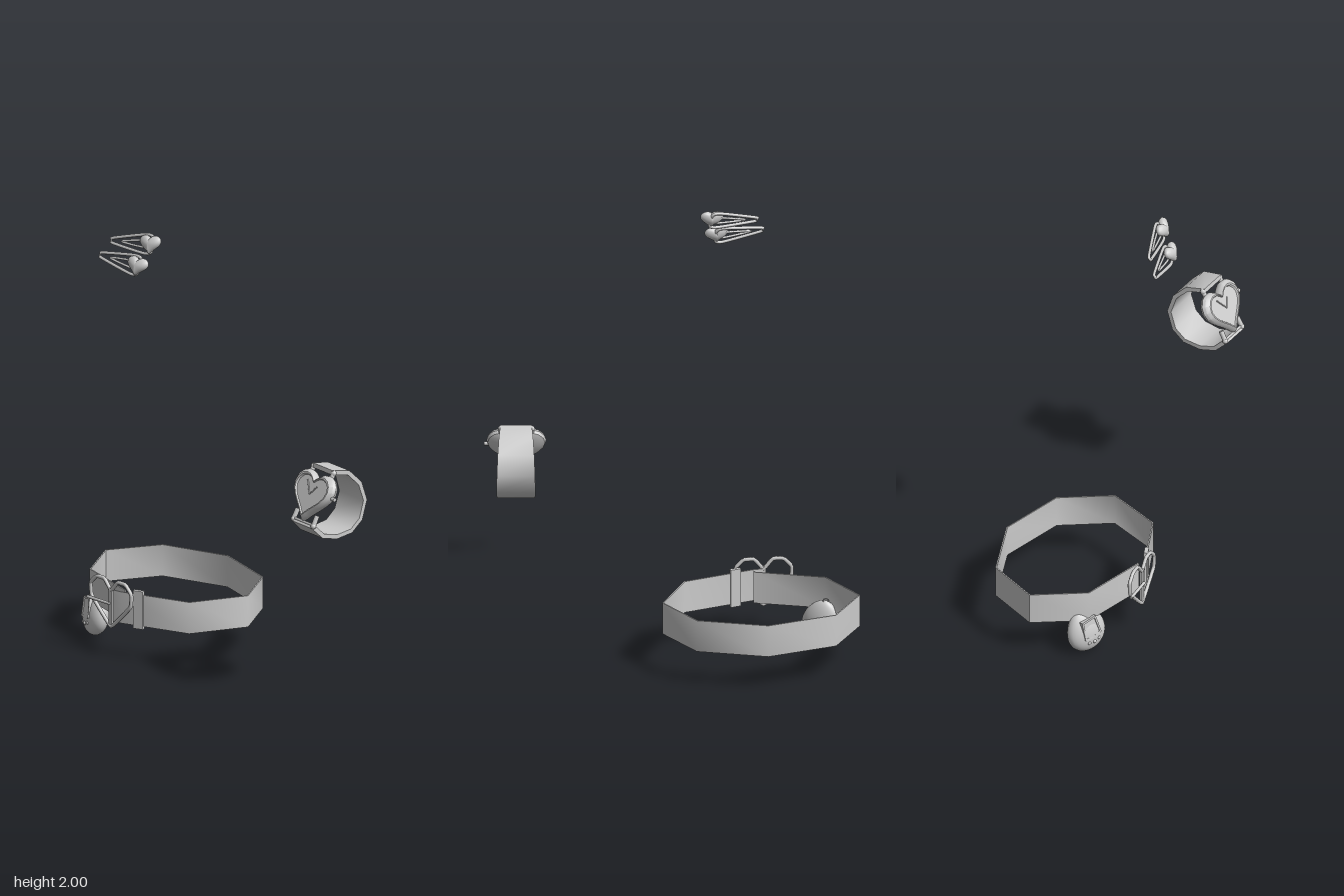
import * as THREE from 'three';
import { toCreasedNormals, mergeVertices } from 'three/addons/utils/BufferGeometryUtils.js';

const grey = new THREE.MeshStandardMaterial({ color: 0xcccccc });
const thin = new THREE.MeshStandardMaterial({ color: 0xcccccc, side: THREE.DoubleSide });

function add(parent, name, geometry, position = [0, 0, 0], rotation = [0, 0, 0], material = grey) {
  const mesh = new THREE.Mesh(geometry, material);
  mesh.name = name;
  mesh.position.set(...position);
  mesh.rotation.set(...rotation);
  parent.add(mesh);
  return mesh;
}

function makeGroup(parent, name, position, yaw, pitch = 0, roll = 0) {
  const group = new THREE.Group();
  group.name = name;
  group.position.set(...position);
  group.rotation.set(pitch, yaw, roll, 'YXZ');
  parent.add(group);
  return group;
}

// Round bar between two points
function rod(parent, name, a, b, radius, sides = 8) {
  const from = new THREE.Vector3(...a), to = new THREE.Vector3(...b);
  const dir = to.clone().sub(from);
  const mesh = add(parent, name, new THREE.CylinderGeometry(radius, radius, dir.length(), sides));
  mesh.position.copy(from).add(to).multiplyScalar(0.5);
  mesh.quaternion.setFromUnitVectors(new THREE.Vector3(0, 1, 0), dir.normalize());
}

// Flat band following a path in the xz plane, its width along y
function ribbon(path, thickness, halfWidth) {
  const pos = [], index = [], n = path.length;
  path.forEach(([x, z], i) => {
    const a = path[Math.max(i - 1, 0)], b = path[Math.min(i + 1, n - 1)];
    const dx = b[0] - a[0], dz = b[1] - a[1], len = Math.hypot(dx, dz);
    const ox = (-dz / len) * thickness / 2, oz = (dx / len) * thickness / 2;
    const w = halfWidth(i / (n - 1));
    pos.push(x + ox, w, z + oz, x - ox, w, z - oz, x - ox, -w, z - oz, x + ox, -w, z + oz);
    if (i < n - 1) for (let k = 0; k < 4; k++) {
      const p = i * 4 + k, q = i * 4 + (k + 1) % 4;
      index.push(p, q, p + 4, q, q + 4, p + 4);
    }
  });
  const e = (n - 1) * 4;
  index.push(0, 2, 1, 0, 3, 2, e, e + 1, e + 2, e, e + 2, e + 3);
  const geo = new THREE.BufferGeometry();
  geo.setAttribute('position', new THREE.Float32BufferAttribute(pos, 3));
  geo.setIndex(index);
  return toCreasedNormals(geo, 1);
}

// Turned profile of [scale, z] pairs whose round outline is warped into a heart
function heartSolid(profile, w, h, soft, crease) {
  let geo = new THREE.LatheGeometry(profile.map(p => new THREE.Vector2(...p)), 28);
  const p = geo.attributes.position;
  for (let i = 0; i < p.count; i++) {
    const r = Math.hypot(p.getX(i), p.getZ(i)), t = Math.atan2(p.getX(i), p.getZ(i));
    const hx = Math.sin(t) ** 3;
    const hy = (13 * Math.cos(t) - 5 * Math.cos(2 * t) - 2 * Math.cos(3 * t) - Math.cos(4 * t) + 2.5) / 14.5;
    const mix = THREE.MathUtils.lerp;
    p.setXYZ(i, -r * w / 2 * mix(hx, Math.sin(t), soft), r * h / 2 * mix(hy, Math.cos(t), soft), p.getY(i));
  }
  geo.deleteAttribute('uv');
  geo.deleteAttribute('normal');
  geo = mergeVertices(geo, 1e-5);
  geo.computeVertexNormals();
  return crease ? toCreasedNormals(geo, crease) : geo;
}

function loopTube(points, tension, radius, segments) {
  const curve = new THREE.CatmullRomCurve3(points.map(([x, y]) => new THREE.Vector3(x, y, 0)), true, 'catmullrom', tension);
  return new THREE.TubeGeometry(curve, segments, radius, 6, true);
}

function buildBelt(root) {
  const belt = makeGroup(root, 'belt', [0, 0, 0], 0);
  const path = [[-0.357, 0.25], [-0.67, 0.19], [-0.82, -0.02], [-0.717, -0.258], [-0.423, -0.385],
    [-0.112, -0.325], [0.038, -0.117], [-0.055, 0.136], [-0.35, 0.276], [-0.4, 0.29]];
  add(belt, 'beltBand', ribbon(path, 0.006, () => 0.0725), [0, 0.2325, 0], [0, 0, 0], thin);
  add(belt, 'beltLoop', new THREE.BoxGeometry(0.048, 0.175, 0.018), [-0.276, 0.235, 0.241], [0, 0.44, 0]);

  // Heart buckle with centre bar and prong
  const buckle = makeGroup(belt, 'heartBuckle', [-0.4, 0.24, 0.295], 0.11);
  const half = [[0.04, 0.108], [0.088, 0.108], [0.124, 0.07], [0.118, 0.012]];
  const outline = [[0, 0.062], ...half, [0, -0.105], ...half.map(([x, y]) => [-x, y]).reverse()];
  add(buckle, 'buckleFrame', loopTube(outline, 0.12, 0.009, 60));
  add(buckle, 'buckleBar', new THREE.BoxGeometry(0.018, 0.17, 0.012), [0, -0.01, 0]);
  rod(buckle, 'buckleProng', [0.0, 0.005, 0.012], [-0.132, 0.005, 0.012], 0.007);
}

function buildEgg(root) {
  const egg = makeGroup(root, 'eggCharm', [-0.66, 0.108, 0.165], -0.36, -0.17, 0.18);
  const body = new THREE.SphereGeometry(1, 28, 20);
  const p = body.attributes.position;
  for (let i = 0; i < p.count; i++) {
    const y = p.getY(i), taper = 1 - 0.2 * y - 0.06 * y * y;
    p.setXYZ(i, p.getX(i) * 0.094 * taper, y * 0.107, p.getZ(i) * 0.052 * taper);
  }
  body.computeVertexNormals();
  add(egg, 'eggBody', body);

  // Screen frame with a sunken display
  const frame = new THREE.Shape();
  const hole = new THREE.Path();
  [[frame, 0.045, 0.048], [hole, 0.036, 0.039]].forEach(([s, x, y]) => {
    s.moveTo(-x, -y * 0.85).quadraticCurveTo(0, -y * 1.12, x, -y * 0.85);
    s.lineTo(x * 0.85, y).lineTo(-x * 0.85, y).closePath();
  });
  frame.holes.push(hole);
  add(egg, 'screenFrame', new THREE.ExtrudeGeometry(frame, { depth: 0.02, bevelEnabled: false, curveSegments: 6 }), [0, 0.012, 0.032]);
  add(egg, 'screen', new THREE.BoxGeometry(0.076, 0.084, 0.02), [0, 0.012, 0.037]);
  [-1, 0, 1].forEach(i => add(egg, 'button', new THREE.SphereGeometry(0.009, 10, 8),
    [i * 0.026, -0.056 + 0.004 * Math.abs(i), 0.046 - 0.003 * Math.abs(i)]));
  add(egg, 'hangingRing', new THREE.TorusGeometry(0.011, 0.003, 6, 14), [0, 0.109, 0], [0, 0.5, 0]);
}

function buildWatch(root) {
  const watch = makeGroup(root, 'watch', [0, 0, 0], 0);
  // Strap path as [y, z], turned upright after building
  const path = [[1.09, -0.012], [1.072, -0.1], [1.012, -0.16], [0.93, -0.186], [0.848, -0.16],
    [0.804, -0.108], [0.793, -0.03], [0.81, 0.042], [0.865, 0.098]];
  const strap = ribbon(path, 0.02, t => 0.068 + 0.017 * Math.sin(Math.PI * t));
  strap.rotateZ(Math.PI / 2);
  add(watch, 'strap', strap, [0.68, 0, 0], [0, 0, 0], thin);

  const head = makeGroup(watch, 'watchHead', [0.679, 0.978, 0.042], 0, -0.48);
  const profile = [[0, -0.024], [0.8, -0.024], [0.96, -0.014], [1, 0], [0.96, 0.014],
    [0.84, 0.027], [0.78, 0.027], [0.74, 0.02], [0, 0.02]];
  add(head, 'heartCase', heartSolid(profile, 0.262, 0.235, 0.22, 0.6));
  rod(head, 'minuteHand', [0, 0.002, 0.022], [-0.042, 0.058, 0.022], 0.003, 6);
  rod(head, 'hourHand', [0, 0.002, 0.022], [0.03, 0.042, 0.022], 0.003, 6);
  rod(head, 'crown', [0.12, 0.018, 0], [0.142, 0.018, 0], 0.009, 10);
  // Four lugs and the strap pins between them
  [-1, 1].forEach(v => {
    [-1, 1].forEach(s => {
      rod(head, 'lug', [s * 0.066, v * 0.075, -0.006], [s * 0.068, v * 0.122, -0.006], 0.011);
      add(head, 'lugTip', new THREE.SphereGeometry(0.013, 10, 8), [s * 0.068, v * 0.124, -0.006]);
    });
    rod(head, 'strapPin', [-0.07, v * 0.12, -0.006], [0.07, v * 0.12, -0.006], 0.006);
  });
}

function buildClip(root, name, position, roll) {
  const clip = makeGroup(root, name, position, 0.28, -0.42, roll);
  const outer = [[-0.2, 0.011], [-0.206, 0], [-0.2, -0.011], [-0.03, -0.042], [0.005, -0.03], [0.005, 0.03], [-0.03, 0.042]];
  add(clip, 'clipFrame', loopTube(outer, 0.35, 0.0075, 48), [0, 0, -0.012]);
  const tongue = [[-0.155, 0], [-0.03, -0.016], [-0.01, 0], [-0.03, 0.016]];
  add(clip, 'clipTongue', loopTube(tongue, 0.35, 0.0055, 32), [0, 0, -0.012]);
  const puff = [];
  for (let i = 0; i <= 10; i++) {
    const a = -Math.PI / 2 + Math.PI * i / 10;
    puff.push([Math.max(0, Math.cos(a)), 0.024 * Math.sin(a)]);
  }
  add(clip, 'clipHeart', heartSolid(puff, 0.108, 0.085, 0.2));
}

export function createModel() {
  const root = new THREE.Group();
  root.name = 'accessorySet';
  buildBelt(root);
  buildEgg(root);
  buildWatch(root);
  buildClip(root, 'upperHairClip', [-0.172, 1.96, 0.262], 0.1);
  buildClip(root, 'lowerHairClip', [-0.193, 1.866, 0.317], -0.06);
  return root;
}
